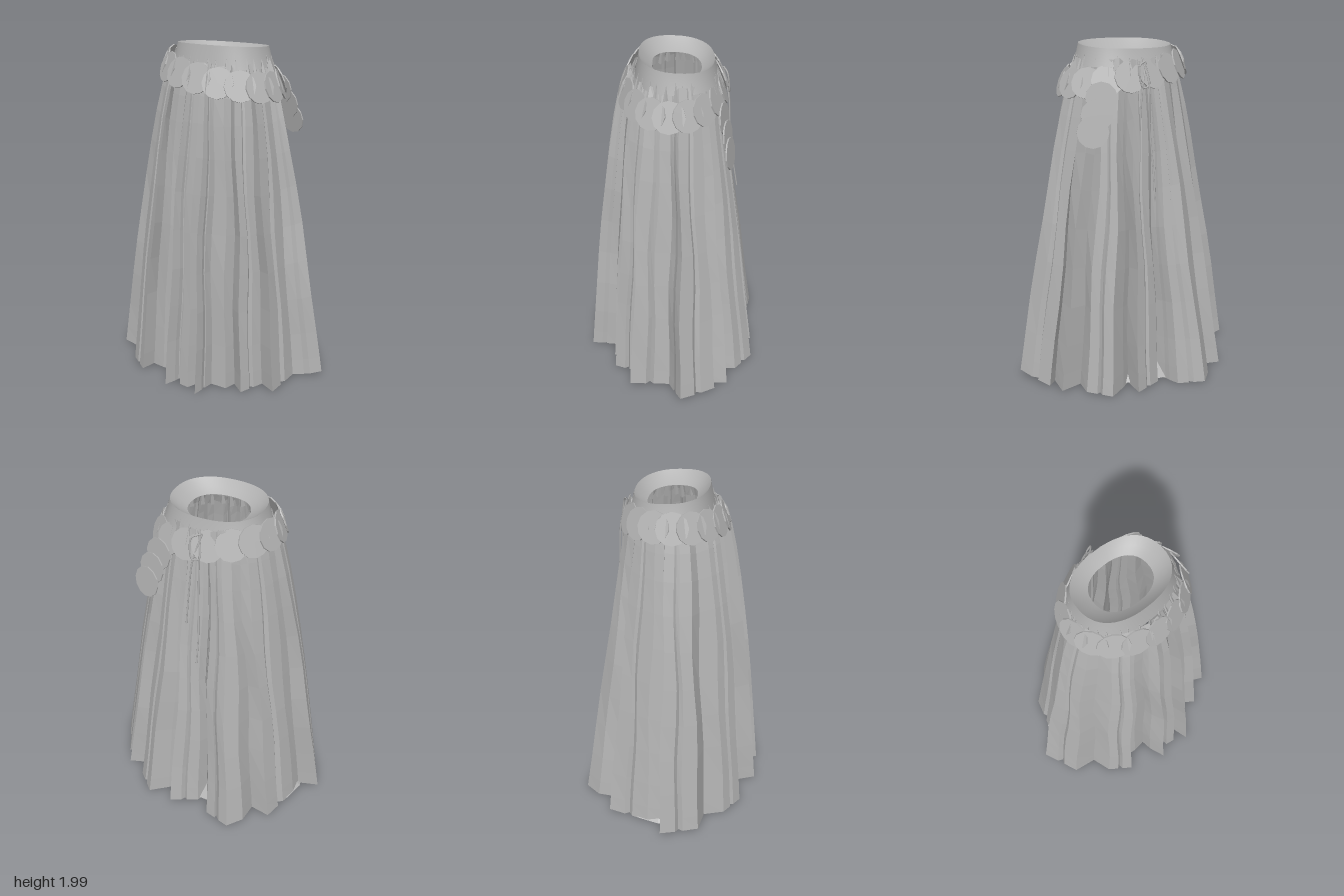
import * as THREE from 'three';

const cloth = new THREE.MeshStandardMaterial({ color: 0xb2b2b2, side: THREE.DoubleSide });
cloth.name = 'grey cloth';

// Hem outline (x, z), running from the left side over the front, right and back
const HEM = [
  [0.70, -0.04], [0.54, 0.03], [0.53, 0.27], [0.43, 0.22], [0.37, 0.37], [0.29, 0.31], [0.27, 0.38],
  [0.17, 0.38], [0.15, 0.53], [0.11, 0.40], [0.07, 0.49], [0.01, 0.48], [0.00, 0.37], [-0.06, 0.53],
  [-0.10, 0.43], [-0.11, 0.36], [-0.19, 0.37], [-0.27, 0.36], [-0.29, 0.45], [-0.42, 0.36], [-0.46, 0.24],
  [-0.60, 0.22], [-0.70, 0.00], [-0.57, -0.01], [-0.57, -0.10], [-0.50, -0.35], [-0.38, -0.33],
  [-0.37, -0.45], [-0.30, -0.54], [-0.14, -0.50], [-0.07, -0.36], [-0.04, -0.43], [0.12, -0.51],
  [0.13, -0.37], [0.18, -0.42], [0.28, -0.50], [0.40, -0.39], [0.40, -0.28], [0.53, -0.33],
  [0.53, -0.19], [0.58, -0.25],
];

// Cut a shallow crease into every wide panel so it reads as several pleats
function pleatOutline() {
  const out = [];
  HEM.forEach(([x, z], i) => {
    const [nx, nz] = HEM[(i + 1) % HEM.length];
    out.push([x, z]);
    if (Math.hypot(nx - x, nz - z) < 0.145) return;
    for (const [f, pull] of [[0.4, 1], [0.52, 0.96], [0.6, 1]]) {
      out.push([(x + (nx - x) * f) * pull, (z + (nz - z) * f) * pull]);
    }
  });
  return out;
}

// Closed loft: point(i, j) gives the vertex i of row j
function loft(cols, rows, point) {
  const pos = [], index = [];
  for (let j = 0; j < rows; j++) for (let i = 0; i < cols; i++) pos.push(...point(i, j));
  for (let j = 0; j < rows - 1; j++) {
    for (let i = 0; i < cols; i++) {
      const a = j * cols + i, b = j * cols + (i + 1) % cols;
      index.push(a, b, a + cols, b, b + cols, a + cols);
    }
  }
  const g = new THREE.BufferGeometry();
  g.setAttribute('position', new THREE.Float32BufferAttribute(pos, 3));
  g.setIndex(index);
  g.computeVertexNormals();
  return g;
}

function flat(geometry) {
  const g = geometry.toNonIndexed();
  g.computeVertexNormals();
  return g;
}

export function createModel() {
  const model = new THREE.Group();
  const add = (name, geometry) => {
    const mesh = new THREE.Mesh(geometry, cloth);
    mesh.name = name;
    model.add(mesh);
    return mesh;
  };

  let seed = 7;
  const rand = () => (seed = (seed * 16807) % 2147483647) / 2147483647;

  // Pleated skirt, flaring from the waist ellipse to the hem outline, with a gentle sway in the folds
  const hem = pleatOutline();
  const levels = [0, 0.04, 0.09, 0.17, 0.27, 0.38, 0.5, 0.62, 0.74, 0.86, 0.95, 1];
  add('pleatedSkirt', flat(loft(hem.length, levels.length, (i, j) => {
    const [x, z] = hem[i], v = levels[j];
    const ang = Math.atan2(z * 1.3, x);
    const ridge = Math.hypot(x / 0.62, z / 0.46) - 1;
    const r = 1 + 0.2 * ridge;
    const wx = 0.005 + 0.297 * r * Math.cos(ang), wz = -0.01 + 0.24 * r * Math.sin(ang);
    const t = Math.pow(v, 0.77 - 0.2 * Math.sin(ang));
    const sway = 0.011 * Math.sin(v * Math.PI) * Math.sin(v * 11 + ang * 6);
    const top = 1.9 + 0.12 * ridge;
    const bottom = 0.01 + 0.04 * Math.pow(Math.abs(x) / 0.7, 8);
    return [
      wx + (x - wx) * t - sway * Math.sin(ang),
      top + (bottom - top) * v,
      wz + (z - wz) * t + sway * Math.cos(ang),
    ];
  })));

  // Faceted underside rising from inside the hem to a raised floor
  const floorY = 0.2, sides = 18;
  const ring = [[0.56, 0.39, 0.02], [0.35, 0.255, floorY]];
  add('skirtUnderside', flat(loft(sides, 2, (i, j) => {
    const a = (i / sides) * Math.PI * 2, [rx, rz, y] = ring[j];
    return [-0.03 + rx * Math.cos(a), y, -0.03 + rz * Math.sin(a)];
  })));
  const floor = add('skirtFloor', new THREE.CircleGeometry(1, sides).rotateX(-Math.PI / 2));
  floor.scale.set(0.35, 1, 0.255);
  floor.position.set(-0.03, floorY, -0.03);

  // Smooth, slightly squared waistband: outer wall, then the lip that funnels inwards
  const square = (v) => Math.sign(v) * Math.pow(Math.abs(v), 0.86);
  const band = (rows) => loft(48, rows.length, (i, j) => {
    const a = (i / 48) * Math.PI * 2, [rx, rz, y, dip] = rows[j];
    return [0.006 + rx * square(Math.cos(a)), y + dip * Math.sin(a), -0.02 + rz * square(Math.sin(a))];
  });
  add('waistbandLip', band([[0.174, 0.138, 1.92, 0.01], [0.225, 0.175, 1.945, 0.014], [0.27, 0.208, 1.983, 0.016]]));
  add('waistbandWall', band([[0.27, 0.208, 1.983, 0.016], [0.282, 0.219, 1.93, 0.01], [0.302, 0.234, 1.87, 0]]));

  // Small gathered tips poking up behind the belt
  for (let i = 0; i < 32; i++) {
    const a = (i / 32) * Math.PI * 2 + 0.08 * rand();
    const tip = add('gatheredTip', flat(new THREE.ConeGeometry(0.018, 0.1 + 0.05 * rand(), 4)));
    tip.position.set(0.005 + 0.305 * Math.cos(a), 1.87, -0.012 + 0.243 * Math.sin(a));
    tip.rotation.set(-0.2 * Math.sin(a), 0, 0.2 * Math.cos(a));
  }

  // Belt of overlapping discs, lower on the left side
  const discGeometry = flat(new THREE.CylinderGeometry(0.09, 0.09, 0.008, 12).rotateX(Math.PI / 2));
  const addDisc = (name, x, y, z, yaw, tilt) => {
    const disc = add(name, discGeometry);
    disc.position.set(x, y, z);
    disc.rotation.set(tilt, yaw, 0, 'YXZ');
  };
  const count = 17;
  for (let i = 0; i < count; i++) {
    const a = ((i + 0.25) / count) * Math.PI * 2;
    const x = 0.355 * Math.cos(a), z = 0.276 * Math.sin(a);
    const yaw = Math.atan2(x / 0.126, z / 0.0762);
    addDisc('beltDisc', x + 0.013, 1.825 - 0.053 * Math.cos(a), z, yaw + 0.08, -0.35);
  }

  // Loose end of the belt hanging at the back left, facing backwards
  for (const [x, y, z] of [[0.25, 1.71, -0.275], [0.285, 1.62, -0.295], [0.315, 1.53, -0.31]]) {
    addDisc('beltTailDisc', x, y, z, Math.PI - 0.3, -0.15);
  }

  // Thin tie cords and a small knot trailing from the back
  const cords = [
    [[0.00, 1.92, -0.26], [-0.02, 1.78, -0.31], [-0.02, 1.5, -0.33], [-0.03, 1.3, -0.355], [-0.03, 1.12, -0.385]],
    [[-0.02, 1.9, -0.27], [0.02, 1.75, -0.31], [0.04, 1.55, -0.325], [0.05, 1.35, -0.345]],
    [[-0.01, 1.9, -0.28], [0.03, 1.88, -0.3], [0.02, 1.76, -0.315], [-0.02, 1.77, -0.31], [-0.01, 1.89, -0.28]],
  ];
  for (const points of cords) {
    const curve = new THREE.CatmullRomCurve3(points.map((p) => new THREE.Vector3(...p)));
    add('tieCord', new THREE.TubeGeometry(curve, 24, 0.005, 5));
  }

  return model;
}
